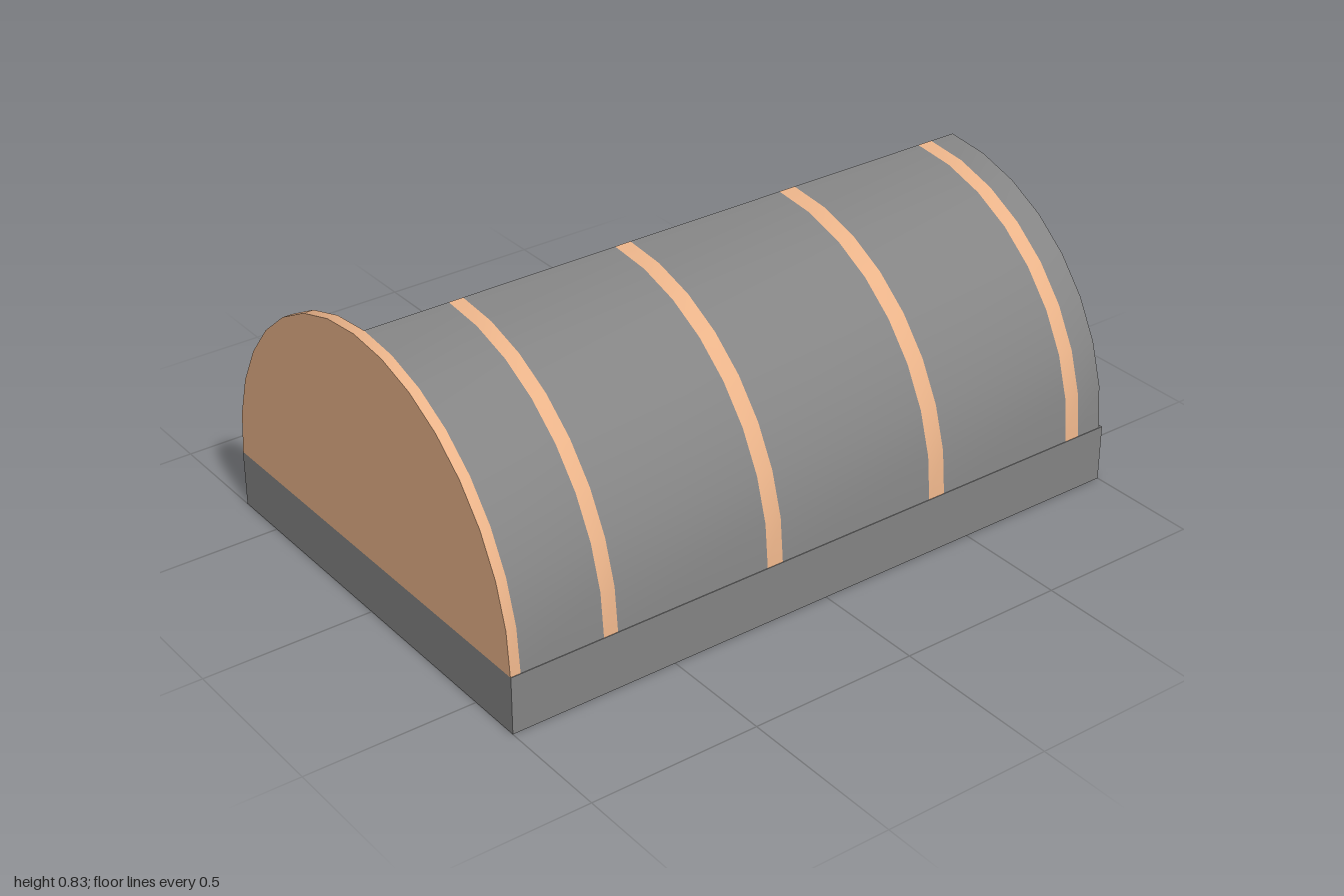
import * as THREE from 'three';
import { toCreasedNormals } from 'three/addons/utils/BufferGeometryUtils.js';

const HALF_X = 1, HALF_Z = 0.665, RIM = 0.17, WALL = 0.025;
const R_OUT = 0.663, R_IN = 0.625, PANEL = 0.03, STEPS = 16;

export function createModel() {
  const model = new THREE.Group();
  const grey = new THREE.MeshStandardMaterial({ color: 0x848484 });
  const floorGrey = new THREE.MeshStandardMaterial({ color: 0x686b69 });
  const tan = new THREE.MeshStandardMaterial({ color: 0xeab389 });

  const add = (name, geometry, material) => {
    const mesh = new THREE.Mesh(geometry, material);
    mesh.name = name;
    model.add(mesh);
    return mesh;
  };

  // Elliptical arc points in the side plane (shape x is -z); n squares off the shoulders
  const arc = (rx, ry, from, to, steps, n = 2) => Array.from({ length: steps + 1 }, (_, i) => {
    const a = from + (to - from) * i / steps;
    const c = Math.cos(a), s = Math.sin(a);
    return new THREE.Vector2(
      rx * Math.sign(c) * Math.abs(c) ** (2 / n),
      ry * Math.abs(s) ** (2 / n));
  });

  // Extrude a side-plane shape along x between x0 and x1
  const alongX = (shape, x0, x1, y) => {
    const g = new THREE.ExtrudeGeometry(shape, { depth: x1 - x0, bevelEnabled: false });
    g.rotateY(Math.PI / 2);
    g.translate(x0, y, 0);
    return toCreasedNormals(g, Math.PI / 6);
  };

  // Open tray: floor plate and four thin walls
  const h = RIM, inner = HALF_Z - WALL;
  add('trayBottom', new THREE.BoxGeometry(2 * HALF_X, 0.03, 2 * HALF_Z).translate(0, 0.015, 0), grey);
  add('trayFloor', new THREE.BoxGeometry(2 * (HALF_X - WALL), 0.012, 2 * inner).translate(0, 0.034, 0), floorGrey);
  for (const s of [-1, 1]) {
    add(s > 0 ? 'frontWall' : 'backWall',
      new THREE.BoxGeometry(2 * HALF_X, h, WALL).translate(0, h / 2, s * (HALF_Z - WALL / 2)), grey);
    add(s > 0 ? 'leftWall' : 'rightWall',
      new THREE.BoxGeometry(WALL, h, 2 * inner).translate(s * (HALF_X - WALL / 2), h / 2, 0), grey);
  }

  // Quarter-round cover, cut into grey panels and tan bands through its thickness
  const half = Math.PI / 2;
  const coverShape = new THREE.Shape([
    ...arc(R_OUT, R_OUT, half, Math.PI, STEPS / 2),
    ...arc(R_IN, R_IN, Math.PI, half, STEPS / 2),
  ]);
  const cuts = [-HALF_X + PANEL, -0.72, -0.677, -0.2, -0.15, 0.355, 0.408, 0.86, 0.908, 0.99];
  for (let i = 0; i < cuts.length - 1; i++) {
    const band = i % 2 === 1;
    add(band ? 'coverBand' : 'coverPanel', alongX(coverShape, cuts[i], cuts[i + 1], RIM), band ? tan : grey);
  }

  // Half-round end panel
  const endShape = new THREE.Shape(arc(R_OUT, R_OUT, 0, Math.PI, STEPS));
  add('endPanel', alongX(endShape, -HALF_X, -HALF_X + PANEL, RIM), tan);

  // Grey arch inlay on the inner face of the end panel
  const archShape = new THREE.Shape(arc(0.553, 0.572, 0, Math.PI, 18));
  const opening = arc(0.449, 0.522, 0, Math.PI, 18, 2.3);
  opening.forEach((p) => { p.y += 0.009; });
  archShape.holes.push(new THREE.Path(opening));
  add('archInlay', alongX(archShape, -HALF_X + PANEL - 0.01, -HALF_X + PANEL + 0.002, RIM + 0.001), grey);

  return model;
}
